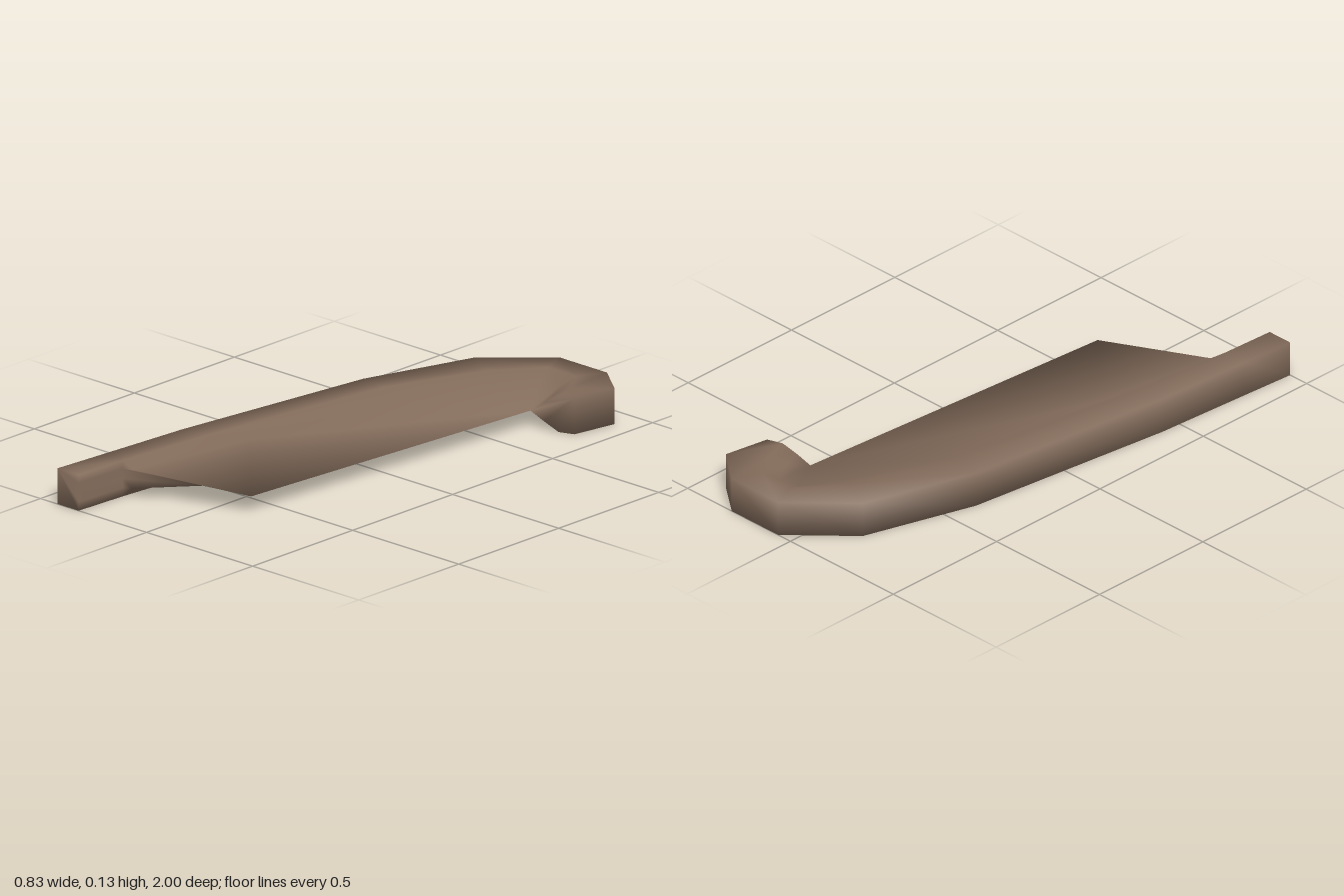
import * as THREE from 'three';
import { mergeVertices } from 'three/addons/utils/BufferGeometryUtils.js';

const H = 0.13; // full thickness of the spine

// Stations from handle end to hook tip, each as [x, z] pairs:
// outer spine, inner spine, valley where the blade starts, cutting edge
const TIP = [0.235, -0.67];
const STATIONS = [
  [[-0.42, 1], [-0.32, 1], [-0.32, 1], [-0.32, 1]],
  [[-0.405, 0.79], [-0.31, 0.79], [-0.31, 0.79], [-0.31, 0.79]],
  [[-0.405, 0.79], [-0.31, 0.79], [-0.28, 0.775], [-0.06, 0.655]],
  [[-0.38, 0.42], [-0.28, 0.42], [-0.2, 0.28], [0.135, 0.62]],
  [[-0.28, -0.38], [-0.17, -0.37], [-0.1, -0.37], TIP],
  [[-0.15, -0.8], [-0.03, -0.73], [0.03, -0.68], TIP],
  [[0.06, -1], [0.1, -0.9], [0.12, -0.84], TIP],
  [[0.285, -1], [0.235, -0.9], [0.2, -0.86], TIP],
  [[0.415, -0.9], [0.3, -0.8], [0.25, -0.77], TIP],
  [[0.385, -0.73], [0.33, -0.71], [0.28, -0.69], TIP],
];

// Closed cross-section: over the top, round the edge and back underneath
function ring([outer, inner, valley, edge]) {
  const at = ([x, z], y) => new THREE.Vector3(x, y, z);
  return [
    at(outer, H), at(inner, H), at(valley, 0.1), at(edge, H / 2),
    at(valley, 0.032), at(inner, 0), at(outer, 0),
  ];
}

function bladeGeometry() {
  const rings = STATIONS.map(ring);
  const positions = [];
  const tri = (a, b, c) => {
    const area = b.clone().sub(a).cross(c.clone().sub(a)).length();
    if (area > 1e-7) for (const p of [a, b, c]) positions.push(p.x, p.y, p.z);
  };

  // Skin between neighbouring cross-sections
  for (let i = 0; i < rings.length - 1; i++) {
    const a = rings[i], b = rings[i + 1];
    for (let k = 0; k < a.length; k++) {
      const n = (k + 1) % a.length;
      tri(a[k], a[n], b[n]);
      tri(a[k], b[n], b[k]);
    }
  }

  // Caps at the handle end and the hook tip
  const first = rings[0], last = rings[rings.length - 1];
  for (let k = 1; k < first.length - 1; k++) {
    tri(first[0], first[k + 1], first[k]);
    tri(last[0], last[k], last[k + 1]);
  }

  // Shared vertices give the soft shading across the edges
  let geometry = new THREE.BufferGeometry();
  geometry.setAttribute('position', new THREE.Float32BufferAttribute(positions, 3));
  geometry = mergeVertices(geometry, 1e-4);
  geometry.computeVertexNormals();
  return geometry;
}

export function createModel() {
  const group = new THREE.Group();
  group.name = 'hookedBlade';
  const brown = new THREE.MeshStandardMaterial({ color: 0x826b5a });
  brown.name = 'brown';
  const blade = new THREE.Mesh(bladeGeometry(), brown);
  blade.name = 'bladeWithHookedSpine';
  group.add(blade);
  return group;
}
